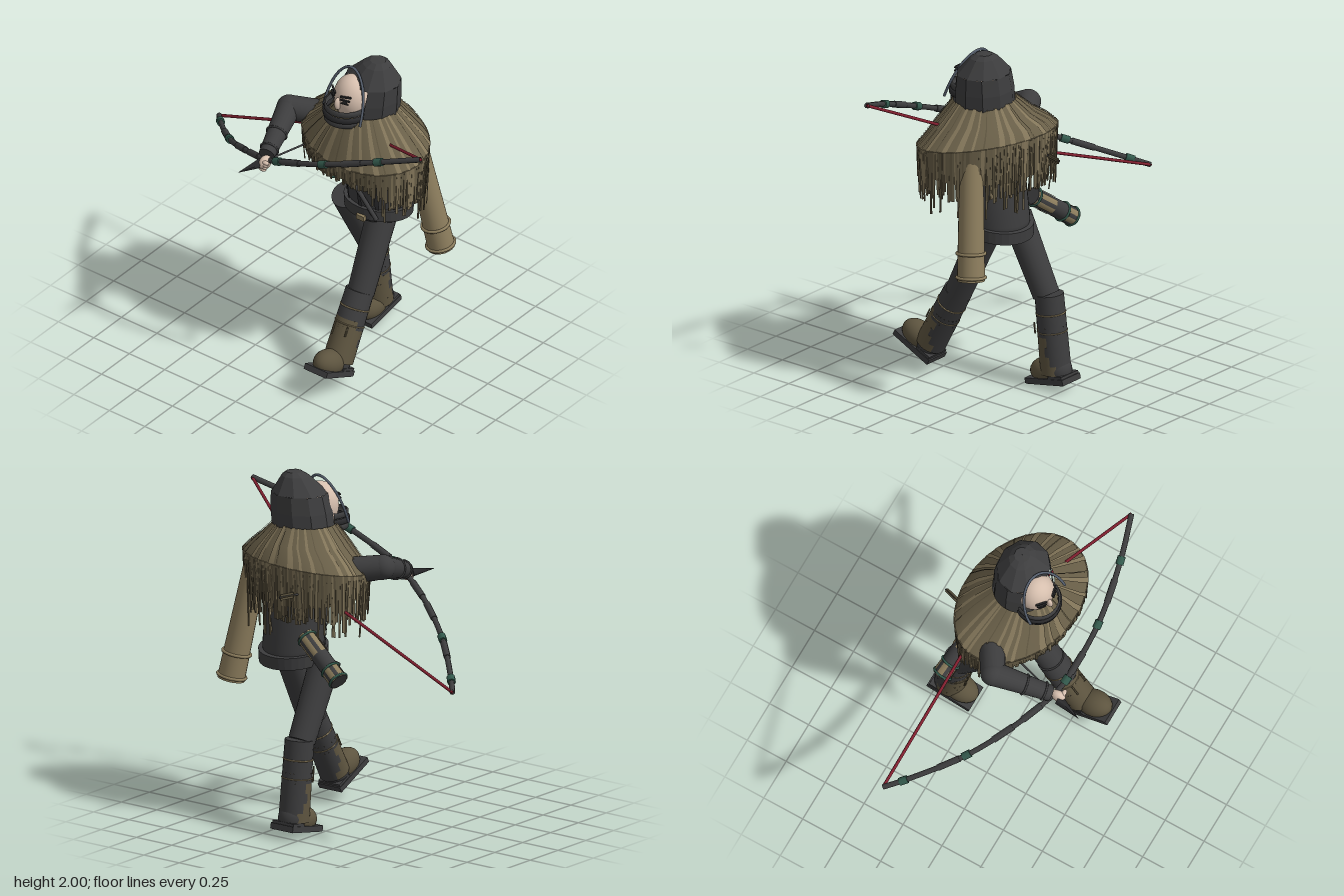
import * as THREE from 'three';
import { mergeGeometries } from 'three/addons/utils/BufferGeometryUtils.js';

const V = (x, y, z) => new THREE.Vector3(x, y, z);
const UP = V(0, 1, 0);

export function createModel() {
  const model = new THREE.Group();
  const M = {};
  const colours = {
    charcoal: 0x3d3d3e, black: 0x2c2c2e, olive: 0x5d543f, straw: 0x695f48, paleStraw: 0x83765a,
    tan: 0x8c7d5d, skin: 0xd6bfae, steel: 0x555e6c, red: 0x842030, green: 0x33594c,
  };
  for (const [name, color] of Object.entries(colours)) {
    M[name] = new THREE.MeshStandardMaterial({ color });
    M[name].name = name;
    M[name].side = THREE.DoubleSide;
  }
  let seed = 7;
  const rand = () => (seed = (seed * 16807) % 2147483647) / 2147483647;

  function add(name, geo, mat, parent = model) {
    const mesh = new THREE.Mesh(geo, M[mat]);
    mesh.name = name;
    parent.add(mesh);
    return mesh;
  }
  function group(name, x, y, z) {
    const g = new THREE.Group();
    g.name = name;
    g.position.set(x, y, z);
    model.add(g);
    return g;
  }
  function box(name, mat, size, pos, parent = model) {
    const mesh = add(name, new THREE.BoxGeometry(...size), mat, parent);
    mesh.position.set(...pos);
    return mesh;
  }
  function ball(name, mat, size, pos, parent = model) {
    const mesh = add(name, new THREE.SphereGeometry(1, 24, 16), mat, parent);
    mesh.scale.set(...size);
    mesh.position.set(...pos);
    return mesh;
  }
  // Tapered cylinder between two points
  function limb(name, mat, low, high, rLow, rHigh, o = {}) {
    const { seg = 20, open = false, start = 0, len = Math.PI * 2 } = o;
    const dir = high.clone().sub(low);
    const mesh = add(name, new THREE.CylinderGeometry(rHigh, rLow, dir.length(), seg, 1, open, start, len), mat);
    mesh.position.copy(low).lerp(high, 0.5);
    mesh.quaternion.setFromUnitVectors(UP, dir.normalize());
    return mesh;
  }
  // Ring around a limb at fraction t
  function band(name, mat, low, high, t, r, tube) {
    const mesh = add(name, new THREE.TorusGeometry(r, tube, 8, 24).rotateX(Math.PI / 2), mat);
    mesh.position.copy(low).lerp(high, t);
    mesh.quaternion.setFromUnitVectors(UP, high.clone().sub(low).normalize());
  }
  // Skin over elliptical rings [y, cx, cz, rx, rz, tilt], listed bottom to top
  function loft(rings, seg, start = 0, len = Math.PI * 2, flat = false) {
    const pos = [], idx = [], w = seg + 1;
    for (const [y, cx, cz, rx, rz, tilt = 0] of rings) {
      for (let i = 0; i <= seg; i++) {
        const a = start + len * i / seg, z = rz * Math.cos(a);
        pos.push(cx + rx * Math.sin(a), y + tilt * z, cz + z);
      }
    }
    for (let j = 0; j < rings.length - 1; j++) {
      for (let i = 0; i < seg; i++) {
        const a = j * w + i, d = a + w;
        idx.push(a, a + 1, d + 1, a, d + 1, d);
      }
    }
    let g = new THREE.BufferGeometry();
    g.setAttribute('position', new THREE.Float32BufferAttribute(pos, 3));
    g.setIndex(idx);
    if (flat) g = g.toNonIndexed();
    g.computeVertexNormals();
    return g;
  }

  // Legs: thigh, stepped two-colour shin, boot
  function leg(side, x, hip, kneeTop, shinTop, ankle, foot, pitch) {
    limb(side + 'Thigh', 'charcoal', kneeTop, hip, 0.077, 0.088);
    const at = t => ankle.clone().lerp(shinTop, t);
    const r = t => 0.087 - 0.005 * t;
    limb(side + 'ShinUpper', 'charcoal', at(0.6), shinTop, r(0.6), r(1));
    [2.3, 1.9, 1.6, 1.8, 1.1].forEach((half, i) => {
      const a = i * 0.12, b = a + 0.12, o = { open: true };
      limb(side + 'BootFront', 'olive', at(a), at(b), r(a), r(b), { ...o, start: -half, len: 2 * half });
      limb(side + 'BootBack', 'charcoal', at(a), at(b), r(a), r(b), { ...o, start: half, len: 2 * (Math.PI - half) });
    });
    band(side + 'BootCord', 'tan', ankle, shinTop, 0.76, 0.082, 0.005);
    band(side + 'LowerCord', 'paleStraw', ankle, shinTop, 0.53, 0.084, 0.004);
    for (let i = 0; i < 4; i++) {
      const off = V(-0.045 + i * 0.03, 0, 0.09);
      limb(side + 'Lace', 'olive', at(0.44 + 0.03 * (i % 2)).add(off), at(0.64 - 0.03 * (i % 2)).add(off), 0.005, 0.005, { seg: 6 });
    }
    const boot = group(side + 'Foot', x, ...foot);
    boot.rotation.x = pitch;
    box('sole', 'charcoal', [0.158, 0.032, 0.275], [0, 0.001, 0], boot);
    box('tread', 'black', [0.154, 0.004, 0.27], [0, -0.016, 0], boot);
    box('heel', 'charcoal', [0.15, 0.02, 0.1], [0, 0.022, -0.08], boot);
    ball('toeCap', 'olive', [0.078, 0.078, 0.112], [0, 0.045, 0.026], boot);
    ball('heelCap', 'charcoal', [0.078, 0.085, 0.075], [0, 0.055, -0.055], boot);
  }
  leg('right', 0.088, V(0.088, 0.96, -0.14), V(0.088, 0.535, -0.355), V(0.088, 0.55, -0.375), V(0.088, 0.09, -0.425), [0.047, -0.4], 0.19);
  leg('left', 0.345, V(0.345, 0.96, -0.14), V(0.35, 0.52, 0.066), V(0.345, 0.535, 0.067), V(0.345, 0.17, 0.265), [0.145, 0.345], -0.46);

  // Torso, belt, strap
  const C = [0.285, -0.18];
  add('torso', loft([[0.93, ...C, 0.001, 0.001], [0.93, ...C, 0.17, 0.16, 0.1], [1.03, ...C, 0.178, 0.165, 0.1],
    [1.3, 0.285, -0.14, 0.185, 0.165], [1.6, 0.28, -0.09, 0.19, 0.16]], 32), 'charcoal');
  add('belt', loft([[0.945, ...C, 0.17, 0.16, 0.15], [0.945, ...C, 0.197, 0.187, 0.15], [1.015, ...C, 0.2, 0.19, 0.15],
    [1.015, ...C, 0.17, 0.16, 0.15]], 32, 0, Math.PI * 2, true), 'charcoal');
  box('buckle', 'tan', [0.055, 0.03, 0.02], [0.31, 0.985, 0.015]);
  for (let i = 0; i < 5; i++) {
    const a = -1.2 + i * 0.57;
    add('coatSeam', loft([[1.02, ...C, 0.184, 0.171, 0.1], [1.42, 0.285, -0.125, 0.191, 0.17]], 3, a, 0.13), 'black');
  }
  limb('chestStrap', 'charcoal', V(0.41, 1.0, 0.0), V(0.13, 1.37, 0.03), 0.013, 0.013, { seg: 8 });

  // Straw cape with broad pale streaks and a hanging fringe
  const cape = group('cape', 0.27, 0, -0.08);
  cape.rotation.y = -0.25;
  const RX = 0.435, RZ = 0.3, TILT = -0.13, RIM = 1.49;
  const mantle = k => [[RIM + k, 0, 0, RX + k, RZ + k, TILT], [1.54 + k, 0, 0, 0.38 + k, 0.275 + k, TILT],
    [1.61 + k, 0.01, 0, 0.29 + k, 0.235 + k, -0.06], [1.71 + k, 0.015, 0.005, 0.18 + k, 0.165 + k]];
  add('capeMantle', loft(mantle(0), 48), 'straw', cape);
  for (let i = 0; i < 32; i++) {
    const dark = i % 4 === 1;
    add('capeStreak', loft(mantle(0.004), 3, (i + rand() * 0.5) * Math.PI / 16, dark ? 0.025 : 0.03 + rand() * 0.08),
      dark ? 'olive' : 'paleStraw', cape);
  }
  add('capeSkirt', loft([[RIM - 0.15, 0, 0, RX * 0.96, RZ * 0.94, 0.15], [RIM, 0, 0, RX, RZ, TILT]], 48), 'straw', cape);
  const strands = { straw: [], paleStraw: [], olive: [] };
  const N = 230;
  for (let i = 0; i < N; i++) {
    const a = i / N * Math.PI * 2, f = Math.cos(a);
    const front = THREE.MathUtils.smoothstep(f, 0.35, 0.85);
    let L = 0.22 - 0.15 * front + 0.06 * Math.max(0, -f) + rand() * 0.06;
    const long = rand() < 0.14 && front < 0.8;
    if (long) L += 0.09;
    const g = new THREE.BoxGeometry(long ? 0.01 : 0.013, L, 0.006).translate(0, -L / 2, 0);
    g.rotateX(0.02 + rand() * 0.1).rotateZ((rand() - 0.5) * 0.08);
    g.rotateY(Math.atan2(Math.sin(a) / RX, f / RZ));
    g.translate(RX * Math.sin(a), RIM + 0.003 + TILT * RZ * f, RZ * f);
    strands[['straw', 'olive', 'straw', 'paleStraw', 'straw'][Math.floor(rand() * 5)]].push(g);
  }
  for (const mat in strands) add('capeFringe', mergeGeometries(strands[mat]), mat, cape);

  // Faceted hood, closed crown over an opening turned to the right
  const hoodLow = [[1.66, 0.29, -0.08, 0.182, 0.165], [1.78, 0.302, -0.085, 0.178, 0.162], [1.88, 0.314, -0.09, 0.166, 0.147]];
  add('hood', loft(hoodLow, 8, 0.42, 4.85, true), 'charcoal');
  add('hoodCrown', loft([hoodLow[2], [1.975, 0.33, -0.105, 0.083, 0.075], [1.998, 0.335, -0.11, 0.045, 0.045],
    [2.0, 0.335, -0.11, 0.001, 0.001]], 10, 0.42, Math.PI * 2, true), 'charcoal');

  // Face
  const face = group('face', 0.255, 1.79, 0.02);
  face.rotation.y = -0.22;
  ball('head', 'skin', [0.108, 0.135, 0.105], [0, 0, 0], face);
  ball('nose', 'skin', [0.016, 0.04, 0.024], [0, -0.005, 0.105], face);
  for (const s of [-1, 1]) {
    const line = (name, mat, size, y, z, roll = 0) => {
      const m = box(name, mat, size, [s * 0.052, y, z], face);
      m.rotation.set(0, s * 0.45, s * roll);
    };
    line('brow', 'black', [0.066, 0.011, 0.009], 0.058, 0.092, 0.12);
    line('eyeLid', 'black', [0.056, 0.008, 0.009], 0.038, 0.097);
    line('pupil', 'black', [0.022, 0.016, 0.009], 0.028, 0.098);
    line('lowerLid', 'black', [0.046, 0.005, 0.008], 0.016, 0.099);
  }

  // Mouth guard and wire arch
  for (let i = 0; i < 3; i++) {
    const y = 1.655 + i * 0.036, r = 0.128 + (i % 2) * 0.007;
    add('mouthGuard', loft([[y, 0.236, 0.048, r - 0.015, r - 0.015], [y + 0.006, 0.236, 0.048, r, r], [y + 0.032, 0.236, 0.048, r, r],
      [y + 0.036, 0.236, 0.048, r - 0.012, r - 0.012]], 20, -2.1, 3.8), i === 1 ? 'black' : 'charcoal');
  }
  const arch = [];
  for (let i = 0; i <= 12; i++) {
    const a = Math.PI * i / 12, s = Math.sin(a);
    arch.push(V(0.245 + 0.148 * Math.cos(a), 1.7 + 0.265 * s, 0.105 - 0.105 * s + 0.025 * Math.cos(a)));
  }
  add('hoodArch', new THREE.TubeGeometry(new THREE.CatmullRomCurve3(arch), 40, 0.008, 8), 'steel');

  // Left arm in a wide tan sleeve
  const lShoulder = V(0.545, 1.44, -0.19), lWrist = V(0.652, 0.775, -0.275);
  limb('leftSleeve', 'tan', lWrist, lShoulder, 0.078, 0.066);
  band('leftCuffBand', 'tan', lWrist, lShoulder, 0.03, 0.08, 0.009);
  band('leftUpperBand', 'tan', lWrist, lShoulder, 0.23, 0.079, 0.009);

  // Right arm holding the bow
  const elbow = V(-0.2, 1.51, 0.01), wrist = V(-0.108, 1.405, 0.33);
  limb('rightUpperArm', 'charcoal', elbow, V(0.03, 1.475, -0.13), 0.07, 0.076);
  ball('rightElbow', 'charcoal', [0.071, 0.071, 0.071], elbow.toArray());
  limb('rightForearm', 'charcoal', wrist, elbow, 0.046, 0.07);
  for (const t of [0.12, 0.45]) band('rightSleeveBand', 'charcoal', wrist, elbow, t, 0.048 + 0.024 * t, 0.006);
  ball('rightHand', 'skin', [0.03, 0.042, 0.045], [-0.092, 1.378, 0.365]);
  for (let i = 0; i < 4; i++) ball('finger', 'skin', [0.024, 0.011, 0.014], [-0.09 + i * 0.007, 1.347 + i * 0.017, 0.39]);

  // Bow
  const limbPts = [[-0.92, 0.98, -0.28], [-0.84, 1.022, -0.19], [-0.58, 1.155, 0.06], [-0.32, 1.285, 0.235], [-0.09, 1.385, 0.345],
    [0, 1.425, 0.367], [0.33, 1.555, 0.38], [0.675, 1.69, 0.325], [0.92, 1.775, 0.255]].map(p => V(...p));
  const curve = new THREE.CatmullRomCurve3(limbPts);
  add('bow', new THREE.TubeGeometry(curve, 60, 0.016, 8), 'charcoal');
  const wrap = (name, mat, t, half, r) => limb(name, mat, curve.getPointAt(t - half), curve.getPointAt(t + half), r, r, { seg: 8 });
  for (const i of [1, 2, 5, 6, 7]) {
    const d = limbPts[i];
    let best = 0.05;
    for (let t = 0.03; t < 0.97; t += 0.005) if (curve.getPointAt(t).distanceTo(d) < curve.getPointAt(best).distanceTo(d)) best = t;
    wrap('bowBinding', 'green', best, 0.011, 0.024);
  }
  for (const t of [0.18, 0.34, 0.43, 0.6, 0.8]) wrap('bowGrip', 'charcoal', t, 0.03, 0.02);
  const nock = V(0.05, 1.36, -0.225);
  limb('lowerString', 'red', limbPts[0], nock, 0.009, 0.009, { seg: 8 });
  limb('upperString', 'red', nock, limbPts[8], 0.009, 0.009, { seg: 8 });

  // Arrow
  const tail = V(0.14, 1.385, -0.49), neck = V(-0.11, 1.376, 0.38), tip = V(-0.152, 1.375, 0.53);
  limb('arrowShaft', 'charcoal', tail, neck, 0.006, 0.006, { seg: 6 });
  limb('arrowHead', 'black', neck, tip, 0.03, 0.001, { seg: 4 });
  for (const [w, h] of [[0.024, 0.006], [0.006, 0.034]]) {
    box('fletching', 'olive', [w, h, 0.09], [0.127, 1.385, -0.44]).rotation.y = -0.28;
  }

  // Hip quiver: pale slats at both ends of a dark body, green rims
  const qEnd = V(-0.165, 0.92, -0.34), qTop = V(0.12, 1.12, -0.28);
  const qAt = t => qEnd.clone().lerp(qTop, t);
  limb('quiver', 'charcoal', qEnd, qTop, 0.052, 0.05);
  for (const [t0, t1] of [[0, 0.26], [0.56, 1]]) {
    for (let i = 0; i < 6; i++) {
      limb('quiverSlat', 'tan', qAt(t0), qAt(t1), 0.055, 0.054, { open: true, seg: 3, start: i * Math.PI / 3, len: 0.62 });
    }
  }
  for (const t of [0.03, 0.26, 0.95]) band('quiverRim', 'green', qEnd, qTop, t, 0.054, 0.007);

  return model;
}
